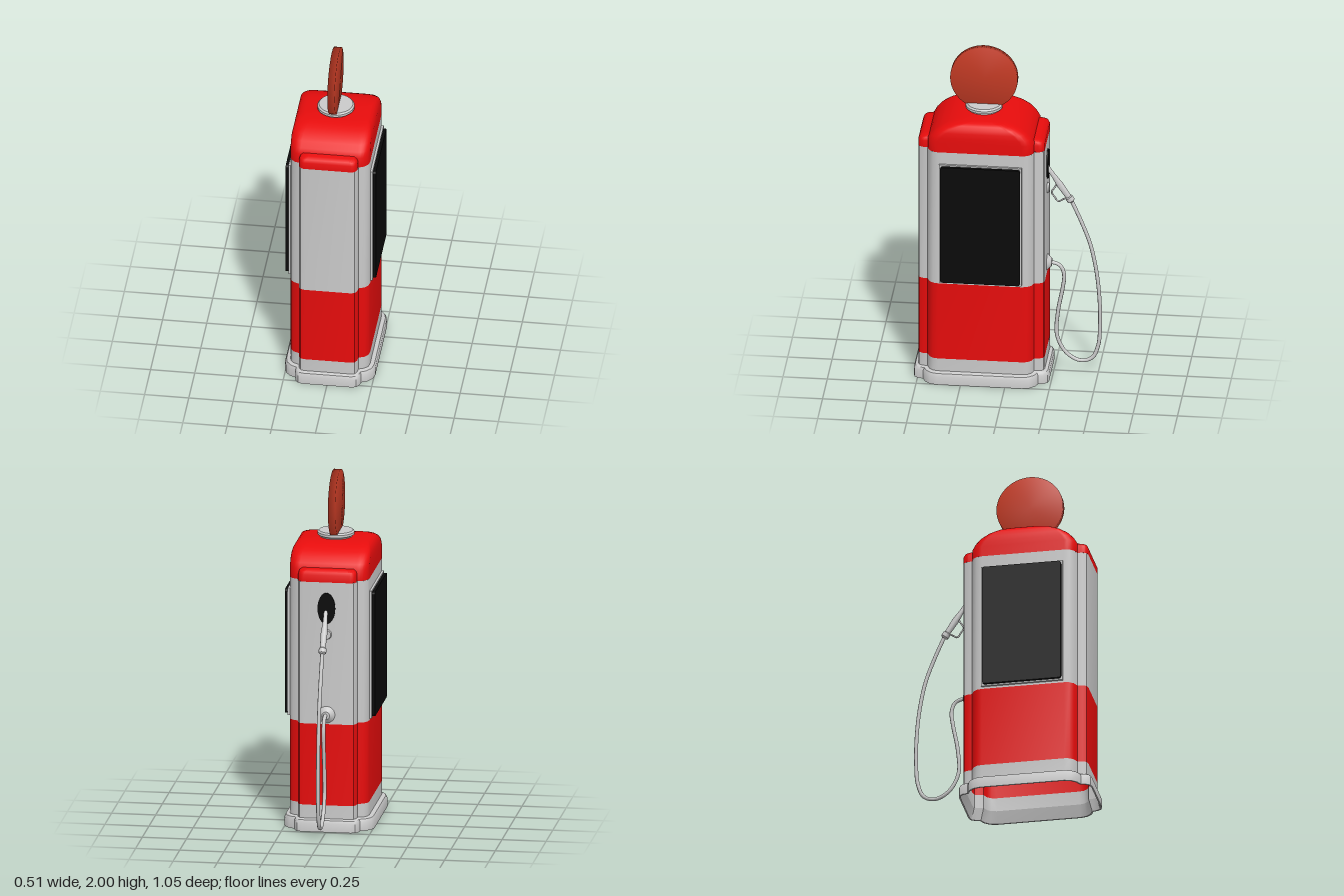
import * as THREE from 'three';
import { toCreasedNormals, mergeVertices } from 'three/addons/utils/BufferGeometryUtils.js';

const CZ = 0.143; // z of the cabinet centre

function makeMaterial(name, color) {
  const m = new THREE.MeshStandardMaterial({ color, side: THREE.DoubleSide });
  m.name = name;
  return m;
}

// Mirror one quarter of a plan outline (x axis to z axis) into a full ring
function ring(quarter) {
  const back = [...quarter].reverse();
  return [
    ...quarter,
    ...back.map(([x, z]) => [-x, z]),
    ...quarter.map(([x, z]) => [-x, -z]),
    ...back.map(([x, z]) => [x, -z]),
  ];
}

function roundedRect(hx, hz, r) {
  const q = [];
  for (let i = 0; i <= 6; i++) {
    const a = (i / 6) * Math.PI / 2;
    q.push([hx - r + r * Math.cos(a), hz - r + r * Math.sin(a)]);
  }
  return ring(q);
}

// Skin a stack of [y, ring] layers, optionally closing the top
function loft(layers, closeTop = false, crease = 0.7) {
  const pos = [], idx = [];
  const n = layers[0][1].length;
  layers.forEach(([y, pts]) => pts.forEach(([x, z]) => pos.push(x, y, z)));
  for (let k = 0; k < layers.length - 1; k++) {
    for (let i = 0; i < n; i++) {
      const a = k * n + i, b = k * n + (i + 1) % n;
      idx.push(a, a + n, b, b, a + n, b + n);
    }
  }
  if (closeTop) {
    const top = (layers.length - 1) * n, c = layers.length * n;
    pos.push(0, layers[layers.length - 1][0], 0);
    for (let i = 0; i < n; i++) idx.push(c, top + (i + 1) % n, top + i);
  }
  const g = new THREE.BufferGeometry();
  g.setAttribute('position', new THREE.Float32BufferAttribute(pos, 3));
  g.setIndex(idx);
  return toCreasedNormals(g, crease);
}

export function createModel() {
  const group = new THREE.Group();
  group.name = 'fuelPump';
  const red = makeMaterial('red paint', 0xe80c0c);
  const white = makeMaterial('light grey paint', 0xcacaca);
  const black = makeMaterial('black panel', 0x0a0a0a);
  const globeRed = makeMaterial('globe orange red', 0xc23a24);

  const add = (name, geo, mat, x = 0, y = 0, z = 0) => {
    const m = new THREE.Mesh(geo, mat);
    m.name = name;
    m.position.set(x, y, z);
    group.add(m);
    return m;
  };

  // Cabinet plan: rounded corners with a stepped panel at each end
  const plan = ring([[0.225, 0.235], [0.219, 0.265], [0.2, 0.287], [0.168, 0.3],
    [0.164, 0.33], [0.153, 0.35], [0.13, 0.356]]);
  const basePlan = ring([[0.255, 0.24], [0.245, 0.28], [0.218, 0.31], [0.186, 0.324],
    [0.18, 0.352], [0.165, 0.374], [0.138, 0.381]]);
  const baseTop = basePlan.map(([x, z]) => [x * 0.97, z * 0.98]);

  // Painted bands of the cabinet, open below
  [['plinthBand', 0.07, 0.15, white], ['lowerBand', 0.15, 0.62, red], ['upperBand', 0.62, 1.44, white]]
    .forEach(([name, y0, y1, mat]) => add(name, loft([[y0, plan], [y1, plan]]), mat, 0, 0, CZ));

  // Foot
  add('foot', loft([[0.07, plan], [0, baseTop], [0, basePlan], [0.05, basePlan],
    [0.066, baseTop], [0.073, plan]]), white, 0, 0, CZ);

  // Arched top
  const arch = [[1.44, 0.225, 0.3], [1.5, 0.225, 0.3], [1.53, 0.225, 0.283], [1.56, 0.224, 0.255],
    [1.585, 0.219, 0.218], [1.603, 0.209, 0.178], [1.614, 0.195, 0.14], [1.62, 0.17, 0.1]];
  add('archedTop', loft(arch.map(([y, hx, hz]) => [y, roundedRect(hx, hz, 0.065)]), true),
    red, 0, 0, CZ);

  // Rounded heads of the end panels
  const heads = [[1.44, 0.165, 0.356], [1.48, 0.165, 0.356], [1.497, 0.16, 0.348], [1.508, 0.145, 0.325]];
  add('endPanelHeads', loft(heads.map(([y, hx, hz]) => [y, roundedRect(hx, hz, 0.035)]), true),
    red, 0, 0, CZ);

  // Side windows in thin frames
  for (const s of [1, -1]) {
    add('windowFrame', new THREE.BoxGeometry(0.016, 0.736, 0.466), white, s * 0.23, 1, 0.14);
    const r = 0.015, w = 0.225, h = 0.36;
    const shape = new THREE.Shape();
    roundedRect(w, h, r).forEach(([x, y], i) => (i ? shape.lineTo(x, y) : shape.moveTo(x, y)));
    const pane = new THREE.ExtrudeGeometry(shape, { depth: 0.018, bevelEnabled: false });
    add('window', pane, black, s * 0.237, 1, 0.14).rotation.y = s * Math.PI / 2;
  }

  // Collar and disc globe
  const collar = [[0, -0.02], [0.09, -0.02], [0.09, 0.005], [0.104, 0.012], [0.104, 0.026],
    [0.095, 0.035], [0, 0.035]].map(([x, y]) => new THREE.Vector2(x, y));
  add('globeCollar', toCreasedNormals(new THREE.LatheGeometry(collar, 32), 0.6), white, 0, 1.62, CZ);
  let disc = new THREE.CylinderGeometry(0.19, 0.19, 0.041, 48);
  disc.deleteAttribute('normal');
  disc.deleteAttribute('uv');
  disc = mergeVertices(disc);
  disc.computeVertexNormals();
  add('globe', disc, globeRed, -0.003, 1.81, CZ).rotation.z = Math.PI / 2;

  // Nozzle holster and fittings on the back
  const BACK = CZ - 0.356;
  const round = (name, r0, r1, depth, y, mat) => {
    const m = add(name, new THREE.CylinderGeometry(r1, r0, depth, 24), mat, 0, y, BACK - depth / 2);
    m.rotation.x = -Math.PI / 2;
    return m;
  };
  round('holster', 0.05, 0.05, 0.008, 1.29, black).scale.z = 1.8;
  round('nozzleRest', 0.03, 0.026, 0.012, 1.14, white);
  round('hoseFlange', 0.048, 0.022, 0.026, 0.675, white);

  // Paths on the centre plane, given as [z, y]
  const path = (pts) => new THREE.CatmullRomCurve3(pts.map(([z, y]) => new THREE.Vector3(0.003, y, z)));
  const tube = (name, pts, r, segs) => add(name, new THREE.TubeGeometry(path(pts), segs, r, 8), white);

  // Nozzle: tapered body turned around the line from holster to hose
  const from = new THREE.Vector3(0.003, 1.285, -0.205);
  const dir = new THREE.Vector3(0, 1.06, -0.352).sub(new THREE.Vector3(0, 1.285, -0.205));
  const len = dir.length();
  const profile = [[0, 0], [0.011, 0], [0.013, 0.3], [0.019, 0.55], [0.016, 0.86], [0.022, 0.88],
    [0.022, 0.97], [0.012, 1], [0, 1]].map(([x, t]) => new THREE.Vector2(x, t * len));
  const nozzle = add('nozzle', toCreasedNormals(new THREE.LatheGeometry(profile, 16), 0.6), white);
  nozzle.position.copy(from);
  nozzle.quaternion.setFromUnitVectors(new THREE.Vector3(0, 1, 0), dir.normalize());

  tube('triggerGuard', [[-0.275, 1.18], [-0.255, 1.145], [-0.238, 1.115], [-0.255, 1.085],
    [-0.275, 1.058], [-0.3, 1.072], [-0.335, 1.09]], 0.005, 24);

  // Hose
  tube('hose', [[-0.35, 1.065], [-0.4, 0.95], [-0.455, 0.8], [-0.49, 0.63], [-0.507, 0.46],
    [-0.51, 0.3], [-0.5, 0.17], [-0.465, 0.09], [-0.4, 0.07], [-0.32, 0.115], [-0.268, 0.22],
    [-0.272, 0.36], [-0.3, 0.52], [-0.308, 0.6], [-0.288, 0.655], [-0.25, 0.674], [-0.21, 0.675]], 0.011, 90);

  return group;
}
